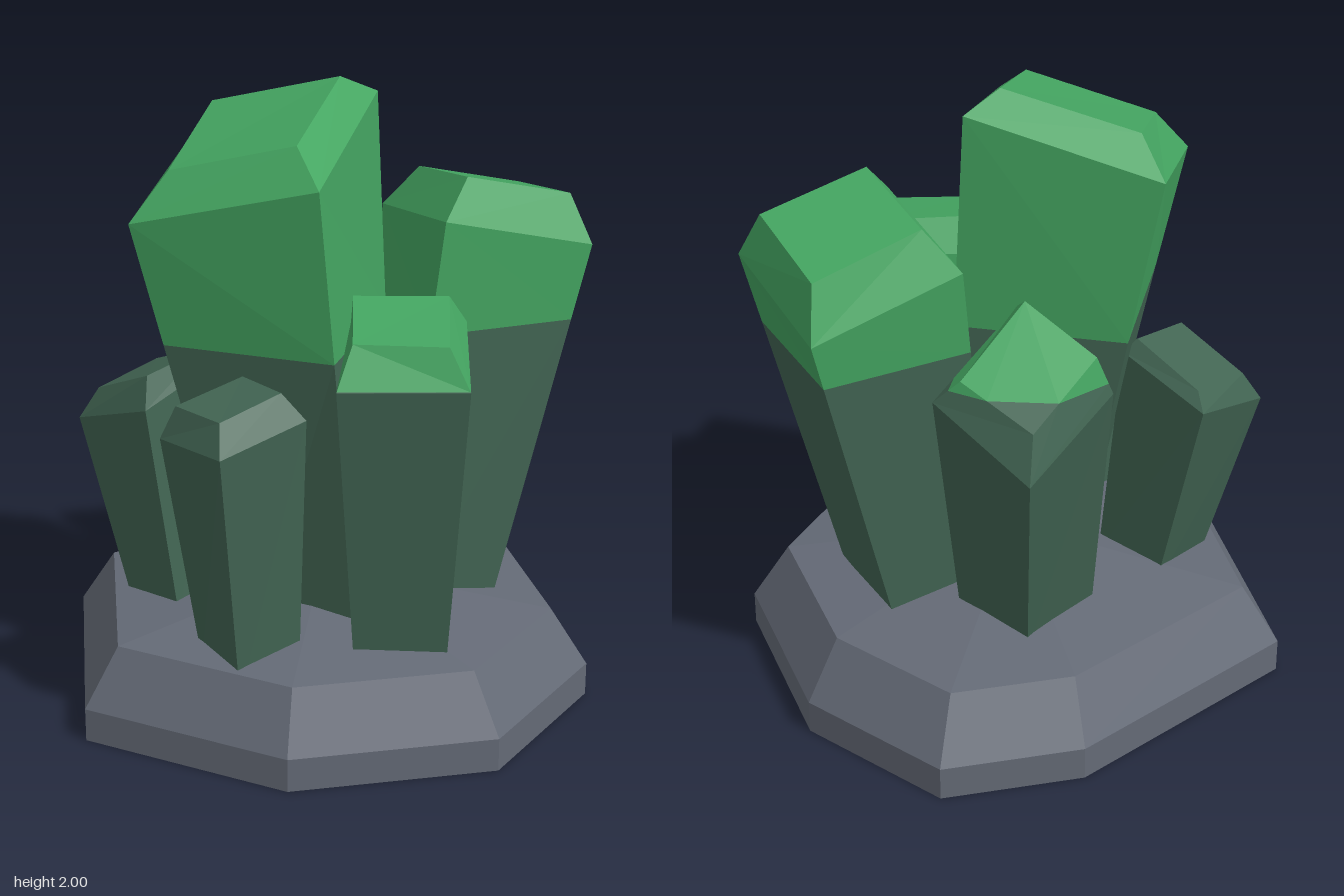
import * as THREE from 'three';

const CUT = 1.235; // height where the crystals change colour

const rock = new THREE.MeshStandardMaterial({ color: 0x646a76, side: THREE.DoubleSide, flatShading: true });
const darkGreen = new THREE.MeshStandardMaterial({ color: 0x426553, flatShading: true });
const brightGreen = new THREE.MeshStandardMaterial({ color: 0x44a561, flatShading: true });
rock.name = 'slate rock';
darkGreen.name = 'dark green crystal';
brightGreen.name = 'bright green crystal';

// Crystals: three rings of four corners [x, y, z], counterclockwise from above
const crystals = {
  tallCrystal: {
    foot: [[-0.30, 0.34, 0], [-0.03, 0.34, 0.32], [0.27, 0.34, 0], [-0.02, 0.34, -0.31]],
    shoulder: [[-0.615, 1.63, -0.06], [-0.18, 1.786, 0.357], [0.235, 1.94, -0.09], [-0.2, 1.775, -0.505]],
    top: [[-0.48, 1.78, -0.065], [-0.185, 1.89, 0.215], [0.105, 2.0, -0.09], [-0.2, 1.89, -0.38]],
  },
  leftCrystal: {
    foot: [[0.15, 0.36, 0.215], [0.5, 0.30, 0.25], [0.535, 0.33, -0.115], [0.18, 0.39, -0.15]],
    shoulder: [[0.30, 1.60, 0.25], [0.79, 1.478, 0.307], [0.82, 1.39, -0.195], [0.335, 1.52, -0.245]],
    top: [[0.405, 1.715, 0.19], [0.75, 1.63, 0.23], [0.78, 1.565, -0.14], [0.425, 1.655, -0.165]],
  },
  frontCrystal: {
    foot: [[-0.11, 0.34, 0.45], [0.155, 0.325, 0.577], [0.283, 0.34, 0.307], [0.02, 0.36, 0.18]],
    shoulder: [[-0.215, 1.232, 0.545], [0.14, 1.232, 0.715], [0.315, 1.315, 0.365], [0, 1.31, 0.205]],
    top: [[-0.14, 1.357, 0.50], [0.105, 1.357, 0.645], [0.24, 1.415, 0.39], [-0.02, 1.415, 0.26]],
  },
  frontSmallCrystal: {
    foot: [[-0.468, 0.30, 0.38], [-0.24, 0.36, 0.345], [-0.28, 0.38, 0.12], [-0.51, 0.34, 0.16]],
    shoulder: [[-0.555, 1.05, 0.47], [-0.245, 1.10, 0.405], [-0.31, 1.08, 0.10], [-0.62, 1.02, 0.165]],
    top: [[-0.52, 1.135, 0.39], [-0.30, 1.177, 0.345], [-0.335, 1.165, 0.14], [-0.575, 1.125, 0.185]],
  },
  backSmallCrystal: {
    foot: [[-0.48, 0.36, -0.09], [-0.24, 0.39, -0.16], [-0.32, 0.33, -0.385], [-0.56, 0.32, -0.31]],
    shoulder: [[-0.55, 0.99, -0.13], [-0.26, 1.075, -0.23], [-0.355, 0.965, -0.53], [-0.662, 0.88, -0.43]],
    top: [[-0.52, 1.085, -0.185], [-0.30, 1.12, -0.25], [-0.37, 1.02, -0.48], [-0.60, 0.98, -0.41]],
  },
  backCrystal: {
    foot: [[0.05, 0.39, -0.13], [0.345, 0.38, -0.21], [0.26, 0.35, -0.483], [-0.035, 0.36, -0.41]],
    shoulder: [[0.155, 1.37, -0.26], [0.51, 1.19, -0.35], [0.39, 1.03, -0.69], [0.045, 1.2, -0.61]],
    top: [[0.19, 1.437, -0.355], [0.45, 1.27, -0.41], [0.35, 1.175, -0.645], [0.09, 1.325, -0.587]],
  },
};

const mix = (a, b, t) => a.map((v, i) => v + (b[i] - v) * t);

// Quads joining two rings of corners
const band = (lower, upper) => lower.map((p, i) => {
  const j = (i + 1) % lower.length;
  return [p, lower[j], upper[j], upper[i]];
});

// Keep the part of a polygon above (side = 1) or below (side = -1) the cut
function clip(polygon, side) {
  const out = [];
  polygon.forEach((p, i) => {
    const q = polygon[(i + 1) % polygon.length];
    const a = (p[1] - CUT) * side, b = (q[1] - CUT) * side;
    if (a >= 0) out.push(p);
    if (a * b < 0) out.push(mix(p, q, a / (a - b)));
  });
  return out;
}

// Fan each convex polygon into triangles
function polygonMesh(name, polygons, material) {
  const points = [];
  for (const poly of polygons)
    for (let i = 1; i < poly.length - 1; i++) points.push(...poly[0], ...poly[i], ...poly[i + 1]);
  const geometry = new THREE.BufferGeometry();
  geometry.setAttribute('position', new THREE.Float32BufferAttribute(points, 3));
  geometry.computeVertexNormals();
  const mesh = new THREE.Mesh(geometry, material);
  mesh.name = name;
  return mesh;
}

function makeCrystal(name, { foot, shoulder, top }) {
  const group = new THREE.Group();
  group.name = name;
  // the shaft continues below the rock surface and is open underneath
  const root = foot.map((p, i) => mix(p, shoulder[i], -0.14));
  const faces = [...band(root, shoulder), ...band(shoulder, top), top];
  for (const [part, side, material] of [['Shaft', -1, darkGreen], ['Tip', 1, brightGreen]]) {
    const pieces = faces.map((f) => clip(f, side)).filter((f) => f.length > 2);
    if (pieces.length) group.add(polygonMesh(name + part, pieces, material));
  }
  return group;
}

// Eight-sided hollow rock with a low wall, a bevel and a gently domed top
function makeRock() {
  const outline = [[-0.86, 0.075], [-0.42, 0.635], [0.22, 0.8], [0.72, 0.49],
    [0.857, -0.14], [0.685, -0.65], [0.26, -0.805], [-0.585, -0.68]];
  const ring = (y, s) => outline.map(([x, z]) => [x * s, y, z * s]);
  const floor = ring(0, 1), wall = ring(0.11, 1), rim = ring(0.3, 0.86), peak = [0, 0.41, 0];
  const dome = rim.map((p, i) => [p, rim[(i + 1) % rim.length], peak]);
  return polygonMesh('rockBase', [...band(floor, wall), ...band(wall, rim), ...dome], rock);
}

export function createModel() {
  const model = new THREE.Group();
  model.name = 'crystalCluster';
  model.add(makeRock());
  for (const [name, rings] of Object.entries(crystals)) model.add(makeCrystal(name, rings));
  return model;
}
